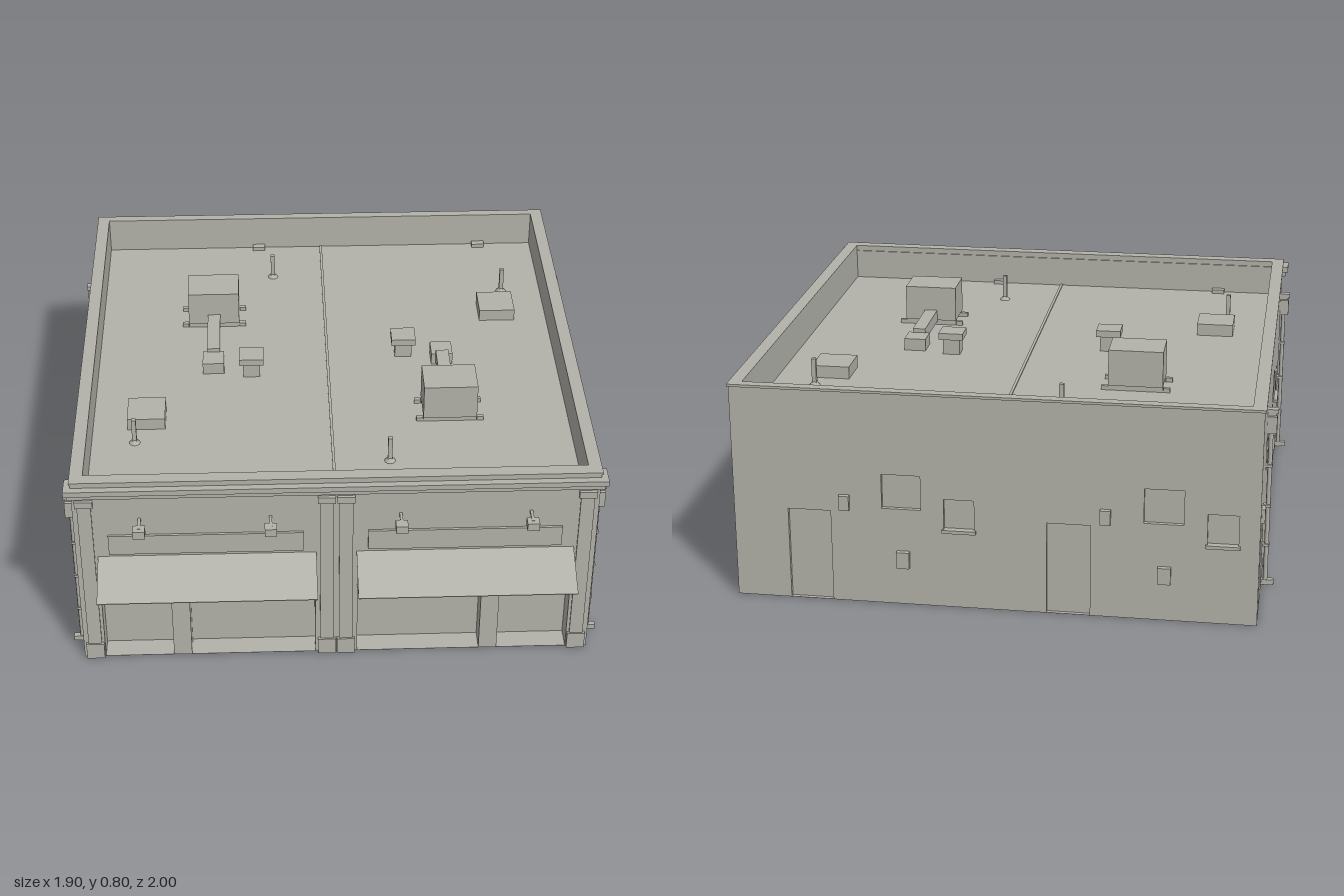
import * as THREE from 'three';

const concrete = new THREE.MeshStandardMaterial({ color: 0xb3b2aa, side: THREE.DoubleSide });
concrete.name = 'concreteGrey';

const HEIGHT = 0.78, ROOF = 0.645;
const HALF_X = 0.906, FRONT = 0.83, BACK = -0.98;
const WINDOW_DEPTH = 0.015, SHOP_DEPTH = 0.08;

function add(parent, name, geometry) {
  const mesh = new THREE.Mesh(geometry, concrete);
  mesh.name = name;
  parent.add(mesh);
  return mesh;
}

// Box given by its limits on each axis
function box(parent, name, x0, x1, y0, y1, z0, z1) {
  const mesh = add(parent, name, new THREE.BoxGeometry(x1 - x0, y1 - y0, z1 - z0));
  mesh.position.set((x0 + x1) / 2, (y0 + y1) / 2, (z0 + z1) / 2);
  return mesh;
}

// Box without its front face, sunk behind a wall opening
function recess(parent, name, x0, x1, y0, y1, depth) {
  const mesh = box(parent, name, x0, x1, y0, y1, -depth, 0);
  const index = Array.from(mesh.geometry.index.array);
  mesh.geometry.setIndex(index.filter((_, i) => i < 24 || i >= 30));
}

function polygon(points, Type = THREE.Shape) {
  return new Type(points.map(([x, y]) => new THREE.Vector2(x, y)));
}
const rect = (a, b, c, d) => [[a, c], [b, c], [b, d], [a, d]];

// Flat wall in local x/y facing +z; every opening gets a recessed panel
function wall(parent, name, outline, openings) {
  const shape = polygon(outline);
  for (const [type, a, b, c, d] of openings) {
    const y0 = Math.max(c, 0.001);
    shape.holes.push(polygon(rect(a, b, y0, d), THREE.Path));
    recess(parent, type, a, b, y0, d, type === 'shopfront' ? SHOP_DEPTH : WINDOW_DEPTH);
    if (type === 'silledWindow') box(parent, 'windowSill', a - 0.006, b + 0.006, c - 0.012, c, 0, 0.01);
  }
  add(parent, name, new THREE.ShapeGeometry(shape));
}

function wallGroup(parent, name, x, z, turn) {
  const g = new THREE.Group();
  g.name = name;
  g.position.set(x, 0, z);
  g.rotation.y = turn;
  parent.add(g);
  return g;
}

// Side wall; s turns model z into the wall's own x
function sideWall(parent, side) {
  const s = -side;
  const g = wallGroup(parent, side > 0 ? 'leftSide' : 'rightSide', side * HALF_X, 0, side * Math.PI / 2);
  const span = (z0, z1) => (s > 0 ? [z0, z1] : [-z1, -z0]);
  const outline = [[s * BACK, 0], [s * FRONT, 0]];
  // wedge-shaped gap near the front corner of one side
  if (side > 0) outline.push([s * FRONT, 0.15], [s * 0.58, 0.23], [s * FRONT, 0.23]);
  outline.push([s * FRONT, HEIGHT], [s * BACK, HEIGHT]);
  wall(g, 'sideWall', outline, [
    ['silledWindow', ...span(0.47, 0.58), 0.3, 0.41],
    ['window', ...span(0.1, 0.235), 0.39, 0.515],
    ['silledWindow', ...span(-0.22, -0.11), 0.3, 0.41],
    ['window', ...span(-0.565, -0.43), 0.39, 0.515],
    ['door', ...span(-0.845, -0.69), 0, 0.335],
  ]);
  box(g, 'wallVent', ...span(0.325, 0.37), 0.14, 0.2, 0, 0.01);
  box(g, 'doorLamp', ...span(-0.9, -0.862), 0.345, 0.395, 0, 0.012);
  // downpipes with rain hoppers
  for (const z of [0.735, -0.64]) {
    const c = s * z;
    add(g, 'downpipe', new THREE.CylinderGeometry(0.008, 0.008, 0.58, 8)).position.set(c, 0.29, 0.014);
    box(g, 'rainHopper', c - 0.025, c + 0.025, 0.58, 0.642, 0, 0.034);
    box(g, 'hopperInlet', c - 0.014, c + 0.014, 0.642, 0.65, 0, 0.03);
    box(g, 'hopperRim', c - 0.014, c + 0.014, 0.65, 0.665, 0, 0.038);
    box(g, 'pipeSpout', c - 0.01, c + 0.01, 0.003, 0.022, 0, 0.044);
    for (const y of [0.15, 0.3, 0.45]) box(g, 'pipeBracket', c - 0.012, c + 0.012, y, y + 0.01, 0, 0.024);
  }
}

function backWall(parent) {
  const g = wallGroup(parent, 'backSide', 0, BACK, Math.PI);
  const openings = [];
  for (const dx of [0, -0.9]) {
    const span = (a, b) => [-(b + dx), -(a + dx)];
    openings.push(
      ['door', ...span(0.565, 0.715), 0, 0.335],
      ['window', ...span(0.25, 0.385), 0.355, 0.48],
      ['silledWindow', ...span(0.065, 0.17), 0.29, 0.4]);
    box(g, 'doorLamp', ...span(0.497, 0.533), 0.345, 0.398, 0, 0.018);
    box(g, 'wallVent', ...span(0.29, 0.335), 0.14, 0.2, 0, 0.018);
  }
  wall(g, 'backWall', rect(-HALF_X, HALF_X, 0, HEIGHT), openings);
}

function frontWall(parent) {
  const g = wallGroup(parent, 'frontSide', 0, FRONT, 0);
  // each shopfront is divided by a post left standing in the wall plane
  wall(g, 'frontWall', rect(-HALF_X, HALF_X, 0, HEIGHT), [
    ['shopfront', -0.83, -0.585, 0, 0.35], ['shopfront', -0.52, -0.075, 0, 0.35],
    ['shopfront', 0.075, 0.515, 0, 0.35], ['shopfront', 0.58, 0.83, 0, 0.35]]);
  // pilasters
  for (const x of [-0.865, -0.0335, 0.0335, 0.865]) {
    box(g, 'pilasterShaft', x - 0.024, x + 0.024, 0.066, 0.68, 0, 0.006);
    box(g, 'pilasterBase', x - 0.032, x + 0.032, 0, 0.066, 0, 0.012);
    box(g, 'pilasterCapital', x - 0.031, x + 0.031, 0.68, 0.706, 0, 0.012);
  }
  // stepped cornice
  box(g, 'corniceLower', -0.92, 0.92, 0.718, 0.74, -0.035, 0.012);
  box(g, 'corniceUpper', -0.93, 0.93, 0.74, 0.76, -0.05, 0.025);
  // one bay per shop: sign board, awning and lamps
  for (const dx of [-0.9, 0]) {
    const x0 = dx + 0.07, x1 = dx + 0.83;
    box(g, 'signBoard', x0 + 0.04, x1 - 0.045, 0.475, 0.555, 0, 0.009);
    // sloping canopy and the struts under its ends
    const strip = (name, a, b, yWall, thick) => {
      const slope = Math.atan2(0.385 - yWall, 0.168);
      const mesh = box(g, name, a, b, 0, thick, 0, Math.hypot(0.168, 0.385 - yWall));
      mesh.position.set((a + b) / 2, (yWall + 0.385) / 2, 0.084);
      mesh.rotation.x = -slope;
    };
    strip('awningCanopy', x0, x1, 0.46, 0.004);
    strip('awningStrut', x0 + 0.002, x0 + 0.01, 0.308, 0.005);
    strip('awningStrut', x1 - 0.01, x1 - 0.002, 0.308, 0.005);
    for (const x of [dx + 0.222, dx + 0.673]) {
      box(g, 'lampArm', x - 0.005, x + 0.005, 0.616, 0.626, 0, 0.06);
      box(g, 'lampHead', x - 0.021, x + 0.021, 0.595, 0.625, 0.04, 0.078);
    }
  }
}

// Equipment of one half of the roof
function roofEquipment(parent, name) {
  const g = new THREE.Group();
  g.name = name;
  parent.add(g);
  box(g, 'airConditioner', -0.53, -0.335, 0.665, 0.797, -0.487, -0.34);
  for (const z of [-0.47, -0.356]) {
    box(g, 'unitRail', -0.53, -0.335, ROOF, 0.665, z - 0.008, z + 0.008);
    for (const x of [-0.543, -0.322]) box(g, 'unitFoot', x - 0.012, x + 0.012, ROOF, 0.66, z - 0.008, z + 0.008);
  }
  box(g, 'duct', -0.456, -0.408, 0.66, 0.705, -0.34, -0.1);
  box(g, 'ductEnd', -0.472, -0.392, ROOF, 0.69, -0.105, -0.02);
  box(g, 'ventBody', -0.32, -0.257, ROOF, 0.705, -0.05, 0.006);
  box(g, 'ventCap', -0.334, -0.243, 0.705, 0.73, -0.066, 0.02);
  box(g, 'skylight', -0.74, -0.603, ROOF, 0.69, 0.195, 0.333);
  for (const [x, z] of [[-0.2, -0.715], [-0.71, 0.413]]) {
    box(g, 'ventPipe', x - 0.008, x + 0.008, ROOF, 0.745, z - 0.008, z + 0.008);
    add(g, 'pipeFlashing', new THREE.CylinderGeometry(0.008, 0.02, 0.015, 12)).position.set(x, ROOF + 0.0075, z);
  }
  for (const [x, z] of [[-0.255, -0.937], [-0.65, 0.77]]) {
    box(g, 'roofDrain', x - 0.025, x + 0.025, ROOF, 0.66, z - 0.014, z + 0.014);
  }
  return g;
}

// Rectangular ring on the wall tops, from y0 to y1
function ring(parent, name, outer, inner, y0, y1) {
  const shape = polygon(rect(...outer));
  shape.holes.push(polygon(rect(...inner), THREE.Path));
  const mesh = add(parent, name, new THREE.ExtrudeGeometry(shape, { depth: y1 - y0, bevelEnabled: false }));
  mesh.rotation.x = -Math.PI / 2;
  mesh.position.y = y0;
}

export function createModel() {
  const model = new THREE.Group();
  model.name = 'shopBuilding';
  frontWall(model);
  backWall(model);
  sideWall(model, 1);
  sideWall(model, -1);

  // roof deck, seam between the halves, parapet and coping
  box(model, 'roofDeck', -HALF_X, HALF_X, ROOF - 0.004, ROOF, BACK, FRONT);
  box(model, 'roofSeam', -0.005, 0.005, ROOF - 0.012, ROOF + 0.004, -0.95, 0.785);
  const inner = [-0.865, 0.865, -0.785, 0.95];
  ring(model, 'parapet', [-HALF_X + 0.002, HALF_X - 0.002, -FRONT + 0.002, -BACK - 0.002], inner, ROOF, 0.772);
  ring(model, 'coping', [-0.911, 0.911, -FRONT - 0.002, 0.986], inner, 0.772, HEIGHT + 0.001);

  // the two halves are the same, turned half a circle
  roofEquipment(model, 'rightRoofEquipment');
  const other = roofEquipment(model, 'leftRoofEquipment');
  other.rotation.y = Math.PI;
  other.position.z = -0.163;
  return model;
}
